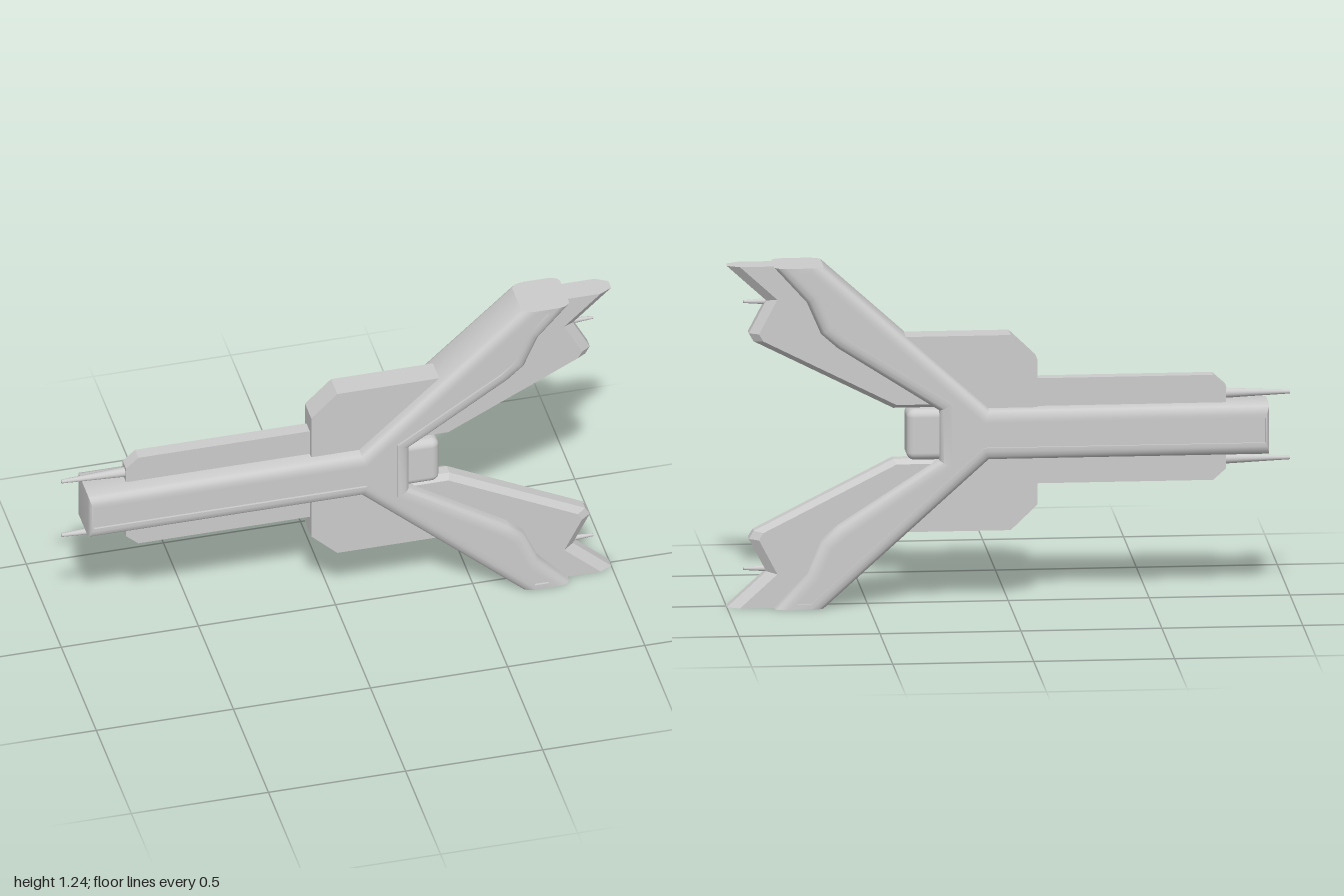
import * as THREE from 'three';
import { toCreasedNormals } from 'three/addons/utils/BufferGeometryUtils.js';
import { RoundedBoxGeometry } from 'three/addons/geometries/RoundedBoxGeometry.js';

const MID = 0.6175; // height of the symmetry plane, also half the height

// Moves every edge i of a counter-clockwise outline inward by dist(i)
function inset(pts, dist) {
  const n = pts.length;
  const line = (i) => {
    const [ax, ay] = pts[i], [bx, by] = pts[(i + 1) % n];
    const l = Math.hypot(bx - ax, by - ay), dx = (bx - ax) / l, dy = (by - ay) / l;
    return { x: ax - dy * dist(i), y: ay + dx * dist(i), dx, dy };
  };
  return pts.map((_, i) => {
    const a = line((i + n - 1) % n), b = line(i);
    const t = ((b.x - a.x) * b.dy - (b.y - a.y) * b.dx) / (a.dx * b.dy - a.dy * b.dx);
    return [a.x + a.dx * t, a.y + a.dy * t];
  });
}

// Skins front rings [outline, z], listed from the middle outward, mirrored to the back and capped
function loft(front, crease = 0.6) {
  const rings = [...front].reverse().map(([p, z]) => [p, -z]).concat(front);
  const n = front[0][0].length, pos = [], idx = [];
  rings.forEach(([p, z]) => p.forEach(([x, y]) => pos.push(x, y, z)));
  for (let r = 0; r < rings.length - 1; r++) {
    for (let i = 0; i < n; i++) {
      const a = r * n + i, b = r * n + (i + 1) % n;
      idx.push(a, b, b + n, a, b + n, a + n);
    }
  }
  const top = (rings.length - 1) * n;
  const cap = rings[rings.length - 1][0].map(([x, y]) => new THREE.Vector2(x, y));
  for (const [a, b, c] of THREE.ShapeUtils.triangulateShape(cap, [])) {
    idx.push(top + a, top + b, top + c, c, b, a);
  }
  const g = new THREE.BufferGeometry();
  g.setAttribute('position', new THREE.Float32BufferAttribute(pos, 3));
  g.setIndex(idx);
  return toCreasedNormals(g, crease);
}

export function createModel() {
  const model = new THREE.Group();
  model.name = 'spacecraft';
  const material = new THREE.MeshStandardMaterial({ color: 0xcccccc });
  const add = (parent, name, geometry) => {
    const mesh = new THREE.Mesh(geometry, material);
    mesh.name = name;
    parent.add(mesh);
    return mesh;
  };
  // Tapered rod along x from x0 to x1
  const rod = (x0, x1, y, r0, r1) =>
    new THREE.CylinderGeometry(r1, r0, Math.abs(x1 - x0), 16)
      .rotateZ(x1 > x0 ? -Math.PI / 2 : Math.PI / 2)
      .translate((x0 + x1) / 2, y, 0);

  // Forked hull with rounded rims and a sunken panel on both faces
  const upper = [[0.25, 0.09], [0.61, 0.322], [0.67, 0.375], [0.72, 0.49],
    [0.835, MID], [0.66, MID], [0.075, 0.09], [-0.92, 0.09]];
  const hull = upper.concat([...upper].reverse().map(([x, y]) => [x, -y]));
  const isTip = (i) => i === 4 || i === 10;
  const rim = (d) => inset(hull, (i) => (isTip(i) ? 0 : i === 7 ? d * 0.3 : d));
  const panel = inset(hull, (i) => (isTip(i) ? 0.02 : i === 7 ? 0.016 : 0.045));
  add(model, 'hull', loft([
    [hull, 0.065], [rim(0.005), 0.077], [rim(0.014), 0.085], [rim(0.032), 0.09],
    [panel, 0.09], [panel, 0.082],
  ]));

  // Engine block in the fork
  add(model, 'engine', new RoundedBoxGeometry(0.165, 0.184, 0.132, 5, 0.028)).position.x = 0.282;

  // Parts of one half, repeated below by a half turn about x
  const half = new THREE.Group();
  half.name = 'upperHalf';

  // Wing web with bevelled, notched trailing edge
  const wing = [[0.2, 0.0925], [0.41, 0.0925], [0.905, 0.343], [0.922, 0.372],
    [0.86, 0.49], [1, MID], [0.8, MID], [0.6, 0.4], [0.2, 0.15]];
  const bevel = [0.015, 0.018, 0.03, 0.03, 0.03, 0, 0, 0, 0];
  add(half, 'wing', loft([[wing, 0.02], [inset(wing, (i) => bevel[i]), 0.045]], 0.3));

  // Needle in the wing notch
  add(half, 'wingNeedle', rod(0.82, 0.94, 0.483, 0.014, 0.005));

  // Side plates
  add(half, 'largePlate', loft([[[[0.1, 0.02], [0.38, 0.353], [-0.005, 0.353],
    [-0.1, 0.262], [-0.1, 0.02]], 0.045]], 0.1));
  add(half, 'longPlate', loft([[[[-0.77, 0.03], [-0.05, 0.03], [-0.05, 0.19],
    [-0.725, 0.19], [-0.77, 0.15]], 0.024]], 0.1));

  // Gun barrel
  add(half, 'gun', rod(-0.75, -1, 0.119, 0.019, 0.007));

  const lower = half.clone();
  lower.name = 'lowerHalf';
  lower.rotation.x = Math.PI;
  model.add(half, lower);

  model.children.forEach((part) => { part.position.y = MID; });
  return model;
}
